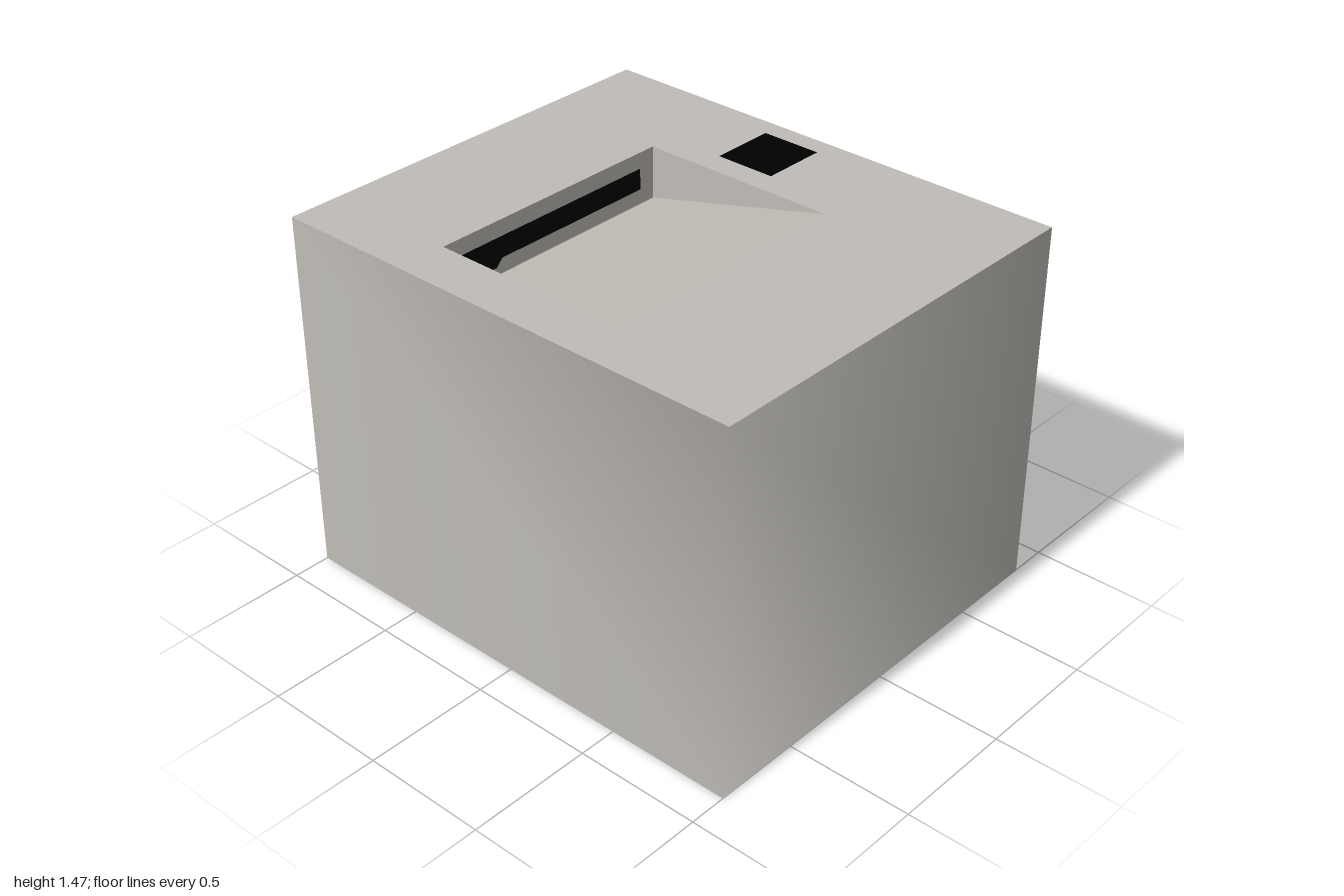
import * as THREE from 'three';
import { mergeGeometries } from 'three/addons/utils/BufferGeometryUtils.js';

const W = 0.85, D = 1, H = 1.463;                                   // half width, half depth, height
const R = { x0: -0.648, x1: 0.403, z0: -0.45, z1: 0.36, y: 1.253 }; // recess limits and its lowest level

// Flat polygon from counter-clockwise corners
function face(...pts) {
  const g = new THREE.BufferGeometry();
  const tris = [];
  for (let i = 1; i < pts.length - 1; i++) tris.push(...pts[0], ...pts[i], ...pts[i + 1]);
  g.setAttribute('position', new THREE.Float32BufferAttribute(tris, 3));
  g.computeVertexNormals();
  return g;
}

// Upright wall along a run of [x, z] points, with normals smoothed across its corners
function wallStrip(run) {
  const g = new THREE.BufferGeometry();
  const index = [];
  for (let i = 0; i < run.length - 1; i++) {
    const b = i * 2;
    index.push(b, b + 2, b + 1, b + 1, b + 2, b + 3);
  }
  g.setAttribute('position', new THREE.Float32BufferAttribute(
    run.flatMap(([x, z]) => [x, 0, z, x, H, z]), 3));
  g.setIndex(index);
  g.computeVertexNormals();
  return g;
}

const points = list => list.map(p => new THREE.Vector2(...p));

export function createModel() {
  const group = new THREE.Group();
  const casing = new THREE.MeshStandardMaterial({ color: 0xc0bdb7, side: THREE.DoubleSide });
  casing.name = 'warm grey';
  const black = new THREE.MeshStandardMaterial({ color: 0x000000 });
  black.name = 'black';

  const add = (name, geometry, material, x = 0, y = 0, z = 0) => {
    const mesh = new THREE.Mesh(geometry, material);
    mesh.name = name;
    mesh.position.set(x, y, z);
    group.add(mesh);
  };

  // Thin shell, open underneath: softly shaded front and sides, flat back
  add('frontAndSides', wallStrip([[-W, -D], [-W, D], [W, D], [W, -D]]), casing);
  add('back', face([W, 0, -D], [-W, 0, -D], [-W, H, -D], [W, H, -D]), casing);

  // Top with a rectangular opening (shape y becomes -z)
  const top = new THREE.Shape(points([[-W, -D], [W, -D], [W, D], [-W, D]]));
  top.holes.push(new THREE.Path(points([
    [R.x0, -R.z1], [R.x0, -R.z0], [R.x1, -R.z0], [R.x1, -R.z1],
  ])));
  add('top', new THREE.ShapeGeometry(top).rotateX(-Math.PI / 2), casing, 0, H);

  // Recess: floor sloping down to a vertical back wall, with wedge-shaped sides
  add('recessFloor', face([R.x0, H, R.z1], [R.x1, H, R.z1], [R.x1, R.y, R.z0], [R.x0, R.y, R.z0]), casing);
  add('recessBack', face([R.x0, R.y, R.z0], [R.x1, R.y, R.z0], [R.x1, H, R.z0], [R.x0, H, R.z0]), casing);
  add('recessSides', mergeGeometries([
    face([R.x0, H, R.z1], [R.x0, R.y, R.z0], [R.x0, H, R.z0]),
    face([R.x1, H, R.z1], [R.x1, H, R.z0], [R.x1, R.y, R.z0]),
  ]), casing);

  // Dark slot on the recess back wall, deeper at one end
  const slot = new THREE.Shape(points([
    [-0.57, 1.285], [-0.41, 1.285], [-0.38, 1.315], [0.33, 1.315], [0.33, 1.4], [-0.58, 1.4], [-0.58, 1.295],
  ]));
  add('slot', new THREE.ShapeGeometry(slot), black, 0, 0, R.z0 + 0.003);

  // Dark square pad beside the recess
  add('topPad', new THREE.PlaneGeometry(0.264, 0.246).rotateX(-Math.PI / 2), black, 0.634, H + 0.002, -0.09);

  return group;
}
